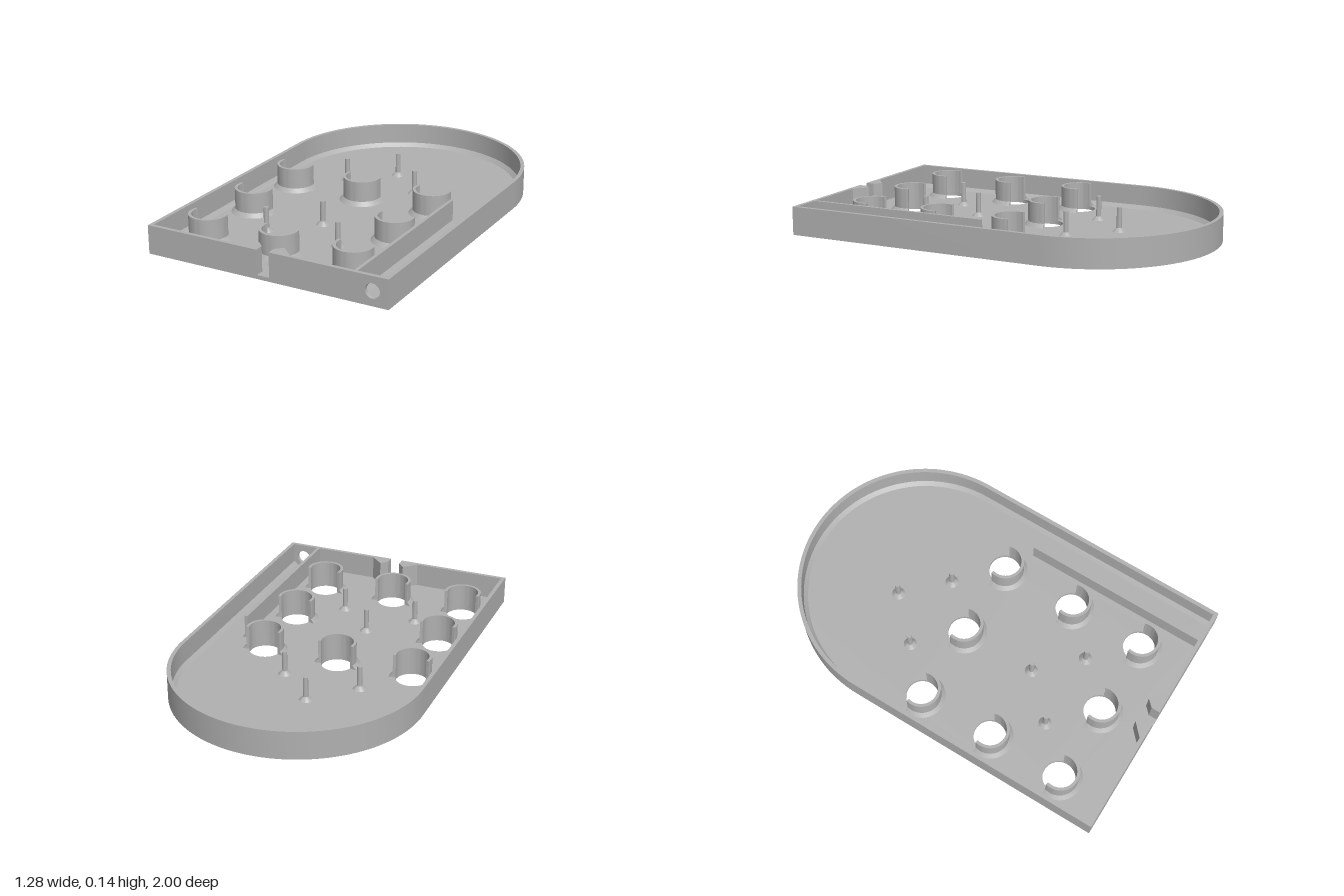
import * as THREE from 'three';
import { toCreasedNormals } from 'three/addons/utils/BufferGeometryUtils.js';

const FLOOR = 0.02, TOP = 0.145, BEVEL = 0.02;
const HALF = 0.64, WALL = 0.02, ARC_Z = -0.36, FRONT = 0.98;
const HOLE_R = 0.082;

const grey = new THREE.MeshStandardMaterial({ color: 0xb0b0b0, side: THREE.DoubleSide });
grey.name = 'grey plastic';

const crease = (g) => toCreasedNormals(g, 0.5);
const polygon = (pts) => new THREE.Shape(pts.map(([x, y]) => new THREE.Vector2(x, y)));

// Plan shapes are drawn as (x, -z) and raised from y0 to y1.
function raise(shape, y0, y1) {
  const g = new THREE.ExtrudeGeometry(shape, { depth: y1 - y0, bevelEnabled: false, curveSegments: 64 });
  return crease(g.rotateX(-Math.PI / 2).translate(0, y0, 0));
}

// Shapes drawn as (x, y) and pushed from z0 to z1.
function push(shape, z0, z1) {
  const g = new THREE.ExtrudeGeometry(shape, { depth: z1 - z0, bevelEnabled: false, curveSegments: 32 });
  return crease(g.translate(0, 0, z0));
}

// Arch outline of radius r, from the front right around the back to the front left.
function archPoints(r, zFront, n = 64) {
  const pts = [[r, -zFront]];
  for (let i = 0; i <= n; i++) {
    const a = (i / n) * Math.PI;
    pts.push([r * Math.cos(a), -ARC_Z + r * Math.sin(a)]);
  }
  pts.push([-r, -zFront]);
  return pts;
}

// Sloped strip where the arched wall meets the floor.
function wallBevel() {
  const upper = archPoints(HALF - WALL, FRONT);
  const lower = archPoints(HALF - WALL - BEVEL, FRONT);
  const pos = [], idx = [];
  upper.forEach(([x, y], i) => {
    pos.push(x, FLOOR + BEVEL, -y, lower[i][0], FLOOR, -lower[i][1]);
    if (i) {
      const a = 2 * i - 2;
      idx.push(a, a + 2, a + 1, a + 1, a + 2, a + 3);
    }
  });
  const g = new THREE.BufferGeometry();
  g.setAttribute('position', new THREE.Float32BufferAttribute(pos, 3));
  g.setIndex(idx);
  g.computeVertexNormals();
  return g;
}

export function createModel() {
  const model = new THREE.Group();
  model.name = 'gameTray';
  const add = (name, geometry, parent = model) => {
    const m = new THREE.Mesh(geometry, grey);
    m.name = name;
    parent.add(m);
    return m;
  };

  // Hole and pin layout
  const cups = [], pins = [[-0.08, -0.465], [-0.28, -0.265], [0.12, -0.265],
    [-0.08, 0.335], [-0.28, 0.535], [0.12, 0.535]];
  for (const z of [-0.065, 0.335, 0.735])
    for (const x of [-0.48, -0.08, 0.32])
      if (!(x === -0.08 && z === 0.335)) cups.push([x, z]);

  // Floor with round holes
  const floor = polygon(archPoints(HALF, 1));
  for (const [x, z] of cups)
    floor.holes.push(new THREE.Path().absarc(x, -z, HOLE_R, 0, Math.PI * 2, true));
  add('floor', raise(floor, 0, FLOOR));

  // Arched side wall and its bevel
  const rim = polygon([...archPoints(HALF, FRONT), ...archPoints(HALF - WALL, FRONT).reverse()]);
  add('sideWall', raise(rim, FLOOR, TOP));
  add('wallBevel', wallBevel());

  // Front wall with gate slot and plunger hole
  const front = polygon([[-HALF, FLOOR], [HALF, FLOOR], [HALF, TOP], [0.03, TOP],
    [0.03, FLOOR], [-0.035, FLOOR], [-0.035, TOP], [-HALF, TOP]]);
  front.holes.push(new THREE.Path().absarc(0.56, 0.073, 0.037, 0, Math.PI * 2, true));
  add('frontWall', push(front, FRONT, 1));

  // Guide posts either side of the slot
  for (const s of [-1, 1]) {
    const px = (x) => s * x - 0.0025;
    add(s < 0 ? 'rightGatePost' : 'leftGatePost', raise(polygon([[px(0.0325), -FRONT],
      [px(0.0325), -0.955], [px(0.067), -0.92], [px(0.132), -FRONT]]), FLOOR, TOP));
  }

  // Launch lane rail with bevelled foot
  add('laneRail', push(polygon([[0.442, FLOOR], [0.495, FLOOR], [0.477, FLOOR + BEVEL],
    [0.477, TOP], [0.46, TOP], [0.46, FLOOR + BEVEL]]), 0.02, FRONT));

  // Open cups behind each hole
  const half = THREE.MathUtils.degToRad(106);
  const section = [[0.117, FLOOR], [0.097, FLOOR + BEVEL], [0.097, TOP], [HOLE_R, TOP], [HOLE_R, FLOOR]];
  const cupBody = crease(new THREE.LatheGeometry(
    section.map(([r, y]) => new THREE.Vector2(r, y)), 40, -half, 2 * half));
  const cupEnds = [-half, half].map((phi) =>
    new THREE.ShapeGeometry(polygon(section)).rotateY(phi - Math.PI / 2));
  for (const [x, z] of cups) {
    const cup = new THREE.Group();
    cup.name = 'cup';
    cup.position.set(x, 0, z);
    add('cupWall', cupBody, cup);
    cupEnds.forEach((g) => add('cupEnd', g, cup));
    model.add(cup);
  }

  // Pins with conical feet
  const pin = crease(new THREE.LatheGeometry([[0.034, FLOOR], [0.013, FLOOR + BEVEL],
    [0.013, TOP], [0, TOP]].map(([r, y]) => new THREE.Vector2(r, y)), 24));
  for (const [x, z] of pins) add('pin', pin).position.set(x, 0, z);

  return model;
}
